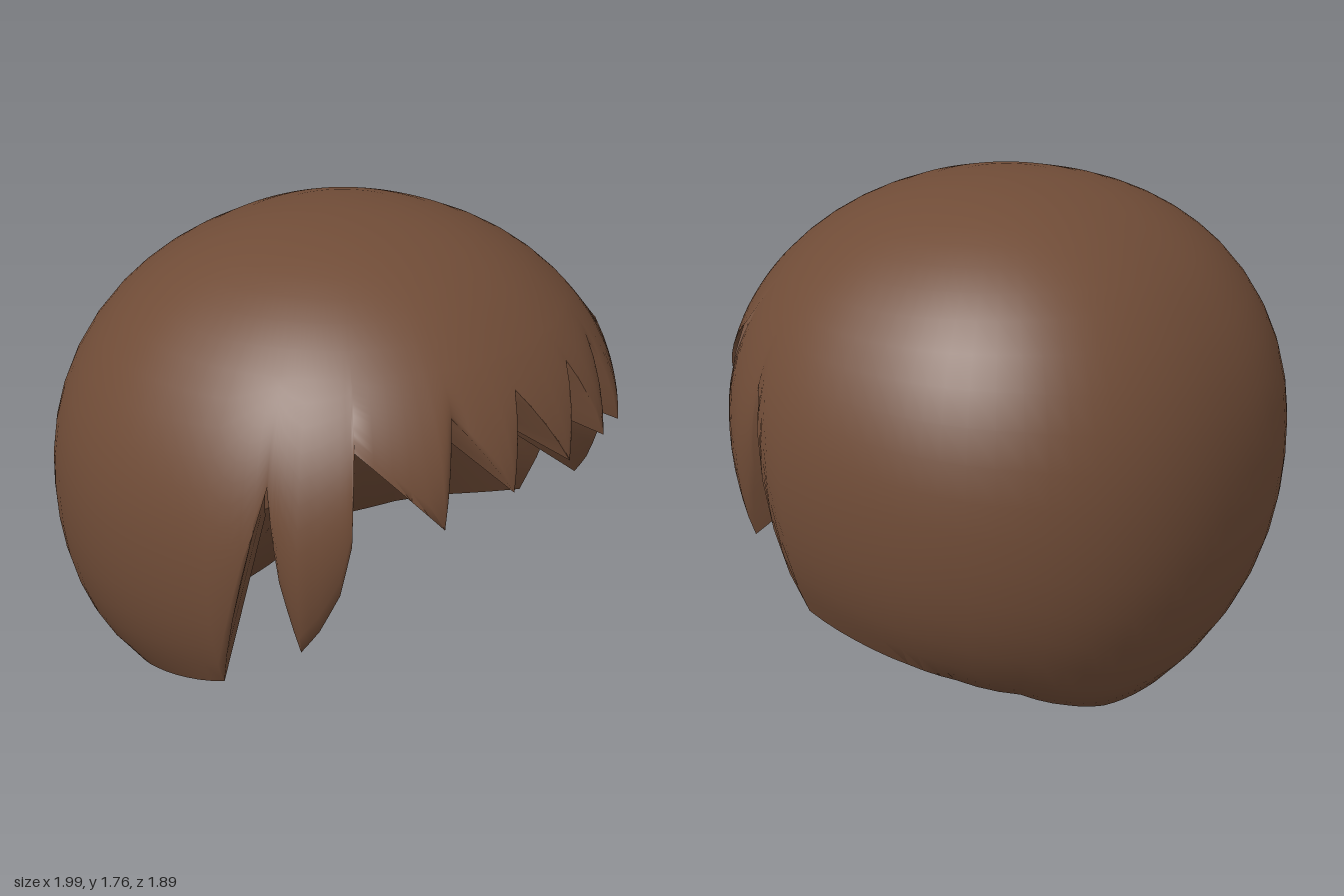
import * as THREE from 'three';
import { toCreasedNormals } from 'three/addons/utils/BufferGeometryUtils.js';

const CENTRE = new THREE.Vector3(0, 0.82, 0);         // middle of the rounded head shape
const FOCUS = new THREE.Vector3(0, 1.4, 0);           // point the thickness tapers towards
const HOLLOW = new THREE.Vector3(0.58, 0.58, 0.37);   // size of the hollow
const CAP = 0.87;                                     // angle of the cap above the highest notch
const CAP_ROWS = 9;
const LOCK_ROWS = 12;

// Hairline from the middle of the fringe round the left side to the nape: x, y, z, columns to the next point
const HAIRLINE = [
  [0, 1.1, 0.945, 4], [0.15, 1.37, 0.82, 4],                          // centre lock
  [0.27, 1.08, 0.91, 4], [0.4, 1.34, 0.75, 4],                        // second lock
  [0.52, 1.02, 0.82, 5], [0.7, 1.29, 0.6, 3],                         // third lock
  [0.755, 1.0, 0.635, 2], [0.77, 0.82, 0.6, 2], [0.8, 0.68, 0.54, 2], // side lock
  [0.82, 0.59, 0.48, 3], [0.865, 0.85, 0.43, 3], [0.87, 1.17, 0.39, 5],
  [0.88, 0.4, 0.2, 6], [0.82, 0.28, -0.17, 3], [0.75, 0.235, -0.31, 3], // rear flap
  [0.62, 0.175, -0.48, 3], [0.46, 0.09, -0.57, 3], [0.3, 0.03, -0.61, 5], [0, 0, -0.64, 0],
];

// Distance from the centre to the head surface, which is a little squarer at the back
function surfaceRadius(d) {
  const p = 2.17;
  const q = d.z > 0 ? p : 2.3;
  const level = (Math.abs(d.x) ** q + Math.abs(d.z / (d.z > 0 ? 0.985 : 0.95)) ** q) ** (1 / q);
  return (level ** p + Math.abs(d.y / (d.y > 0 ? 0.94 : 1.06)) ** p) ** (-1 / p);
}

// Hairline columns as a direction and a ratio to the head surface, mirrored to a closed loop
function hairline() {
  const keys = HAIRLINE.map(([x, y, z, n]) => {
    const v = new THREE.Vector3(x, y, z).sub(CENTRE);
    const dir = v.clone().normalize();
    return { dir, ratio: v.length() / surfaceRadius(dir), n };
  });
  const half = [];
  keys.forEach((a, i) => {
    const b = keys[i + 1];
    if (!b) return half.push(a);
    for (let k = 0; k < a.n; k++) {
      const t = k / a.n;
      half.push({
        dir: a.dir.clone().lerp(b.dir, t).normalize(),
        ratio: a.ratio + (b.ratio - a.ratio) * t,
      });
    }
  });
  const mirrored = half.slice(1, -1).reverse().map(({ dir, ratio }) => (
    { dir: new THREE.Vector3(-dir.x, dir.y, dir.z), ratio }));
  return [...half, ...mirrored];
}

// Row of points: level rings over the cap, then rows spreading down to the hairline
function ringAt(columns, row) {
  const cap = Math.min(row / CAP_ROWS, 1) * CAP;
  const t = Math.max(row - CAP_ROWS, 0) / LOCK_ROWS;
  return columns.map(({ dir, ratio }) => {
    const angle = cap + (Math.acos(dir.y) - CAP) * t;
    const azimuth = Math.atan2(dir.x, dir.z);
    const d = new THREE.Vector3(
      Math.sin(angle) * Math.sin(azimuth), Math.cos(angle), Math.sin(angle) * Math.cos(azimuth));
    const r = surfaceRadius(d) * (1 + (ratio - 1) * t ** 4);
    return d.multiplyScalar(r).add(CENTRE);
  });
}

const shrink = (ring) => ring.map((p) => p.clone().sub(FOCUS).multiply(HOLLOW).add(FOCUS));

// Closed loops joined from top to bottom below a pole
function loft(rings, pole, flip) {
  const n = rings[0].length;
  const points = [...rings.flat(), pole];
  const index = [];
  const tri = (a, b, c) => (flip ? index.push(a, c, b) : index.push(a, b, c));
  for (let j = 0; j < n; j++) {
    const k = (j + 1) % n;
    tri(points.length - 1, j, k);
    for (let i = 0; i + 1 < rings.length; i++) {
      const a = i * n, b = a + n;
      tri(a + j, b + j, b + k);
      tri(a + j, b + k, a + k);
    }
  }
  const g = new THREE.BufferGeometry().setFromPoints(points);
  g.setIndex(index);
  g.computeVertexNormals();
  return g;
}

export function createModel() {
  const group = new THREE.Group();
  group.name = 'hair';
  const brown = new THREE.MeshStandardMaterial({ color: 0x704c37 });
  brown.name = 'brown';
  const add = (name, geometry) => {
    const mesh = new THREE.Mesh(geometry, brown);
    mesh.name = name;
    group.add(mesh);
  };

  const columns = hairline();
  const rings = [];
  for (let i = 1; i <= CAP_ROWS + LOCK_ROWS; i++) rings.push(ringAt(columns, i));
  const crown = new THREE.Vector3(0, 1.76, 0);
  const hollow = rings.map(shrink);

  // Rounded outside of the hair, turning under into the thick undersides of the locks
  add('outerHair', toCreasedNormals(loft([...rings, hollow.at(-1)], crown, false), 1.8));
  // Hollow inside
  add('innerLining', loft(hollow, shrink([crown])[0], true));
  return group;
}
